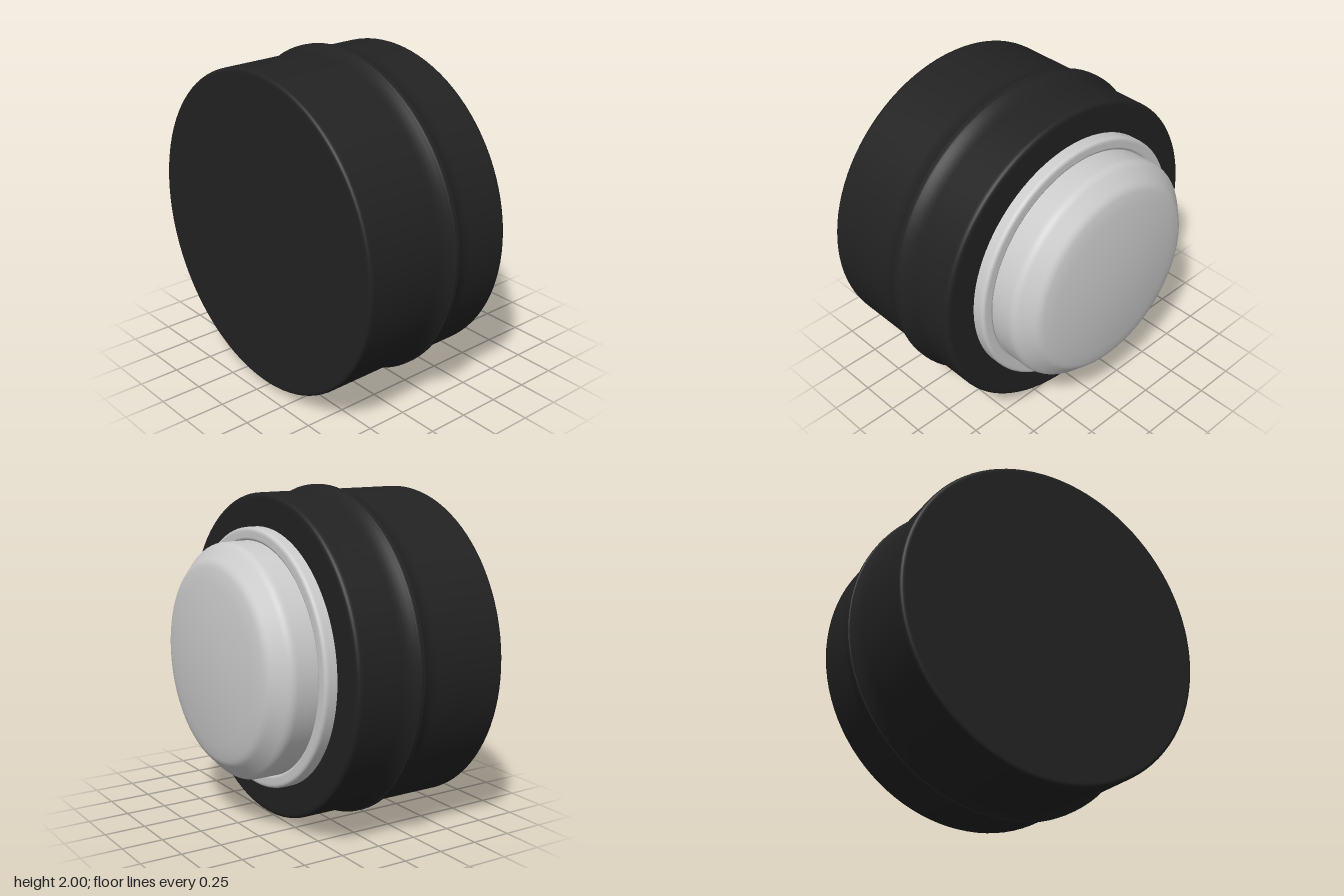
import * as THREE from 'three';

// Rounds profile corners given as [radius, x, cornerRadius]; extra points next to each corner keep the straight runs flat
function roundedProfile(corners) {
  const out = [];
  corners.forEach(([r, x, c = 0], i) => {
    const p = new THREE.Vector2(r, x);
    if (!c) { out.push(p); return; }
    const toward = (q) => new THREE.Vector2(q[0], q[1]).sub(p).normalize();
    const a = toward(corners[i - 1]), b = toward(corners[i + 1]);
    const at = (d, s) => p.clone().addScaledVector(d, s);
    out.push(at(a, c * 1.15));
    out.push(...new THREE.QuadraticBezierCurve(at(a, c), p, at(b, c)).getPoints(6));
    out.push(at(b, c * 1.15));
  });
  return out;
}

// Turns a profile about the horizontal x axis
function turned(name, points, material) {
  const geometry = new THREE.LatheGeometry(points, 96);
  geometry.rotateZ(-Math.PI / 2);
  const mesh = new THREE.Mesh(geometry, material);
  mesh.name = name;
  mesh.position.y = 1;
  return mesh;
}

export function createModel() {
  const group = new THREE.Group();
  group.name = 'knob';
  const black = new THREE.MeshStandardMaterial({ color: 0x222222 });
  const grey = new THREE.MeshStandardMaterial({ color: 0xcccccc });

  // Drum with a flared ridge around it
  const drum = roundedProfile([
    [0, -0.695], [0.967, -0.695, 0.025],
    [0.967, -0.22], [0.969, -0.19], [0.976, -0.16], [0.986, -0.135],
    [0.993, -0.12], [0.994, -0.115], [1, -0.113, 0.002], [1, -0.087, 0.002],
    [0.994, -0.085], [0.993, -0.08], [0.986, -0.065], [0.976, -0.04],
    [0.969, -0.01], [0.967, 0.02],
    [0.967, 0.305, 0.03], [0, 0.305],
  ]);
  group.add(turned('drum', drum, black));

  // Collar between drum and button
  const collar = roundedProfile([
    [0.772, 0.28], [0.772, 0.382, 0.025], [0.705, 0.382, 0.008], [0.692, 0.37], [0.6, 0.37],
  ]);
  group.add(turned('collar', collar, grey));

  // Chamfered button with a shallow domed face
  const dome = [];
  for (let i = 1; i <= 12; i++) {
    const r = 0.57 * (1 - i / 12);
    dome.push([r, 0.695 - 0.047 * (r / 0.57) ** 2]);
  }
  const button = roundedProfile([
    [0.695, 0.36], [0.695, 0.535, 0.03], [0.588, 0.638, 0.025], ...dome,
  ]);
  group.add(turned('button', button, grey));

  return group;
}
